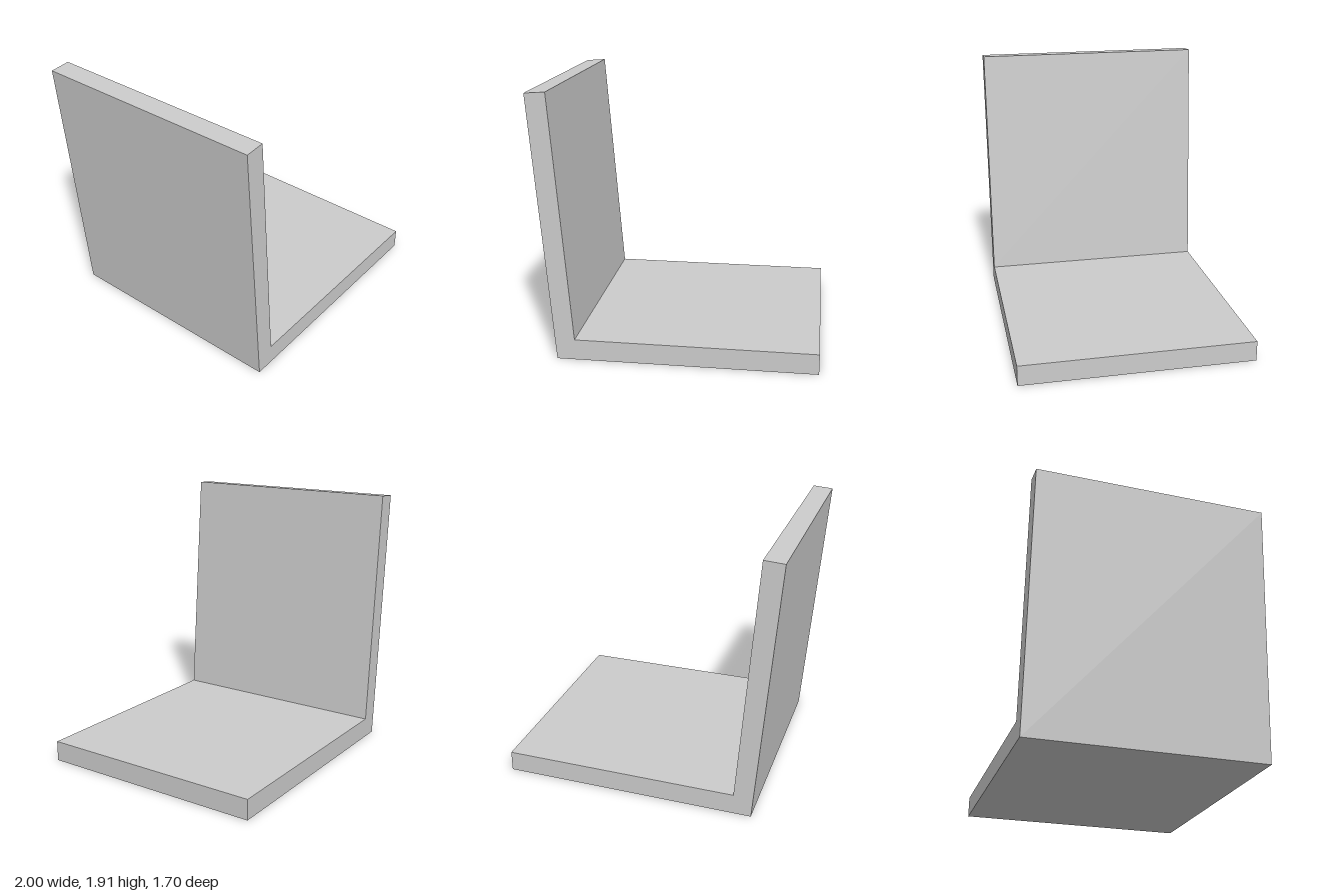
import * as THREE from 'three';

const WIDTH = 1.7;

export function createModel() {
  const group = new THREE.Group();
  group.name = 'legless chair';

  // Side profile: flat seat slab joined to a slightly reclined back
  const profile = new THREE.Shape([
    [-0.85, 0], [1, 0], [1, 0.15], [-0.72, 0.15], [-0.855, 1.91], [-1, 1.9],
  ].map(([x, y]) => new THREE.Vector2(x, y)));

  const geometry = new THREE.ExtrudeGeometry(profile, { depth: WIDTH, bevelEnabled: false });
  geometry.translate(0, 0, -WIDTH / 2);

  const shell = new THREE.Mesh(
    geometry,
    new THREE.MeshStandardMaterial({ color: 0xcccccc, flatShading: true }),
  );
  shell.name = 'seatAndBack';
  group.add(shell);
  return group;
}
